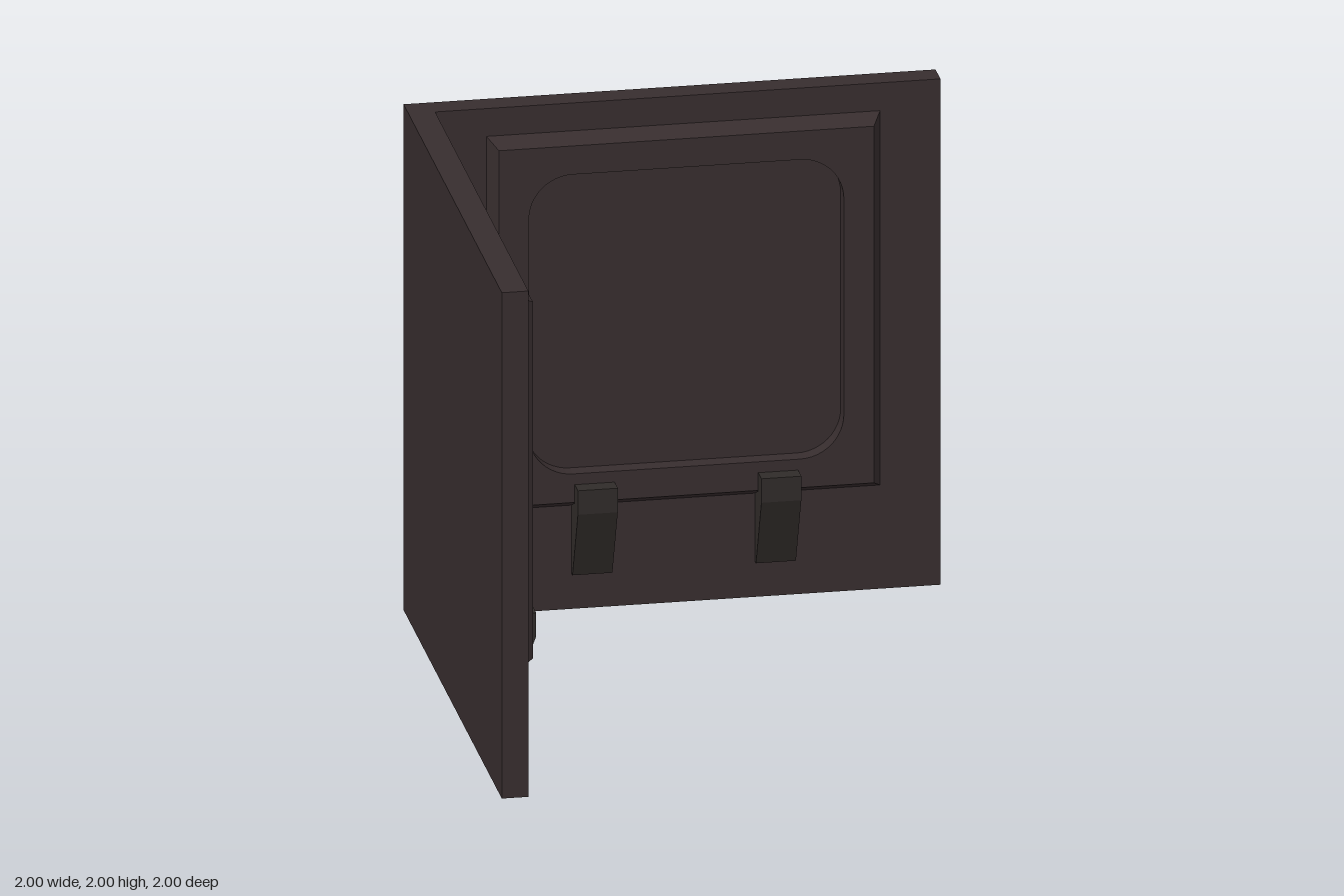
import * as THREE from 'three';

const wallMat = new THREE.MeshStandardMaterial({ color: 0x372d2e, name: 'dark wall' });
const bracketMat = new THREE.MeshStandardMaterial({ color: 0x302b29, name: 'dark bracket' });

const T = 0.1;         // wall thickness
const RAISE = 0.065;   // panel height above the wall
const MID = 1.15;      // panel centre height

function addMesh(parent, name, geometry, material) {
  const mesh = new THREE.Mesh(geometry, material);
  mesh.name = name;
  parent.add(mesh);
  return mesh;
}

// Square (or rounded square) outline, counter-clockwise, centred on the panel
function outline(half, r = 0) {
  const s = new THREE.Shape();
  if (!r) {
    return [[-1, -1], [1, -1], [1, 1], [-1, 1]].map(([x, y]) => new THREE.Vector2(x * half, MID + y * half));
  }
  const c = half - r;
  [[1, -1, -0.5], [1, 1, 0], [-1, 1, 0.5], [-1, -1, 1]].forEach(([x, y, a]) =>
    s.absarc(x * c, MID + y * c, r, a * Math.PI, (a + 0.5) * Math.PI, false));
  return s.getPoints(6).filter((p, i, all) => p.distanceTo(all[(i + 1) % all.length]) > 1e-4);
}

// Flat-shaded strip of faces joining a loop at z = 0 to one at z = RAISE
function band(low, high) {
  const pos = [];
  low.forEach((a, i) => {
    const j = (i + 1) % low.length;
    const b = low[j], c = high[j], d = high[i];
    pos.push(a.x, a.y, 0, b.x, b.y, 0, c.x, c.y, RAISE);
    pos.push(a.x, a.y, 0, c.x, c.y, RAISE, d.x, d.y, RAISE);
  });
  const g = new THREE.BufferGeometry();
  g.setAttribute('position', new THREE.Float32BufferAttribute(pos, 3));
  g.computeVertexNormals();
  return g;
}

// Raised panel with a rounded recess, and two brackets beneath it
function wallFittings() {
  const g = new THREE.Group();
  const base = outline(0.74), rim = outline(0.705);
  const hole = outline(0.592, 0.165).reverse();

  addMesh(g, 'panelBevel', band(base, rim), wallMat);
  addMesh(g, 'recessEdge', band(hole, hole), wallMat);
  const face = new THREE.Shape(rim);
  face.holes.push(new THREE.Path(hole));
  addMesh(g, 'panelFrame', new THREE.ShapeGeometry(face).translate(0, 0, RAISE), wallMat);

  // Bracket side profile: distance from the wall, height
  const profile = new THREE.Shape([[0, 0.14], [0.02, 0.14], [0.13, 0.42], [0.13, 0.515], [0.06, 0.515], [0.06, 0.44], [0, 0.41]]
    .map(([x, y]) => new THREE.Vector2(x, y)));
  const bracket = new THREE.ExtrudeGeometry(profile, { depth: 0.15, bevelEnabled: false });
  bracket.translate(0, 0, -0.075).rotateY(-Math.PI / 2);
  for (const x of [-0.345, 0.345]) addMesh(g, 'bracket', bracket, bracketMat).position.x = x;
  return g;
}

export function createModel() {
  const model = new THREE.Group();
  model.name = 'cornerWall';

  // L-shaped wall, drawn in plan and raised
  const plan = new THREE.Shape([[-1, -1], [-1 + T, -1], [-1 + T, 1 - T], [1, 1 - T], [1, 1], [-1, 1]]
    .map(([x, y]) => new THREE.Vector2(x, y)));
  const walls = new THREE.ExtrudeGeometry(plan, { depth: 2, bevelEnabled: false }).rotateX(-Math.PI / 2);
  addMesh(model, 'walls', walls, wallMat);

  const back = wallFittings();
  back.name = 'backWallFittings';
  back.position.set(0.033, 0, -1 + T);

  const side = wallFittings();
  side.name = 'sideWallFittings';
  side.position.set(-1 + T, 0, 0.033);
  side.rotation.y = Math.PI / 2;

  model.add(back, side);
  return model;
}
